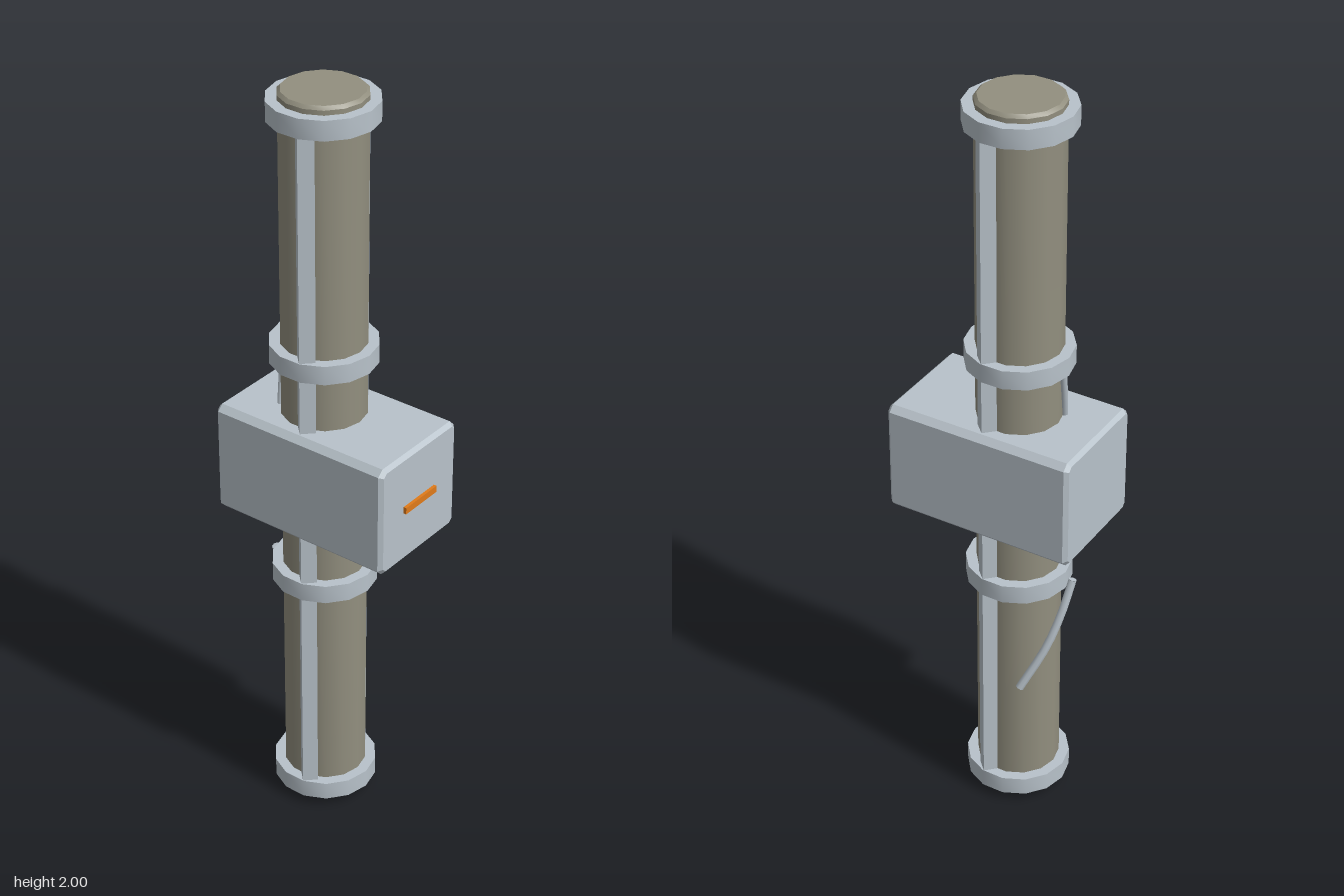
import * as THREE from 'three';
import { toCreasedNormals } from 'three/addons/utils/BufferGeometryUtils.js';

const SIDES = 14;
const AXIS_Z = -0.0375;

export function createModel() {
  const model = new THREE.Group();
  const steel = new THREE.MeshStandardMaterial({ name: 'paleSteel', color: 0xb8c2ca });
  const khaki = new THREE.MeshStandardMaterial({ name: 'khaki', color: 0x928f7f });
  const orange = new THREE.MeshStandardMaterial({ name: 'orange', color: 0xe07b1a });

  const add = (name, geometry, material, x = 0, y = 0, z = 0) => {
    const mesh = new THREE.Mesh(geometry, material);
    mesh.name = name;
    mesh.position.set(x, y, z);
    model.add(mesh);
    return mesh;
  };
  // Turned part with smooth sides and sharp rims
  const turned = (points) => toCreasedNormals(
    new THREE.LatheGeometry(points.map(([r, y]) => new THREE.Vector2(r, y)), SIDES), 0.6);

  // Long cylinder with bevelled ends
  add('mainCylinder', turned([
    [0, 0], [0.1, 0], [0.108, 0.008], [0.108, 1.992], [0.1, 2], [0, 2],
  ]), khaki, 0, 0, AXIS_Z);

  // Four clamping collars
  const collar = turned([
    [0.1, -0.025], [0.1355, -0.025], [0.1355, 0.025], [0.1, 0.025],
  ]);
  for (const y of [0.052, 0.69, 1.325, 1.955]) add('collar', collar, steel, 0, y, AXIS_Z);

  // Diamond-section rails along both sides
  const rail = new THREE.CylinderGeometry(0.028, 0.028, 1.95, 4).toNonIndexed();
  rail.computeVertexNormals();
  for (const side of [-1, 1]) add('sideRail', rail, steel, side * 0.104, 1.003, -0.01);

  // Central housing with chamfered edges
  const c = 0.01, w = 0.152 - c, h = 0.15 - c;
  const outline = new THREE.Shape([
    [w, c - h], [w, h - c], [w - c, h], [c - w, h],
    [-w, h - c], [-w, c - h], [c - w, -h], [w - c, -h],
  ].map(([x, y]) => new THREE.Vector2(x, y)));
  const housing = new THREE.ExtrudeGeometry(outline, {
    depth: 0.488, bevelEnabled: true, bevelSize: c, bevelThickness: c, bevelSegments: 1,
  });
  add('housing', housing, steel, 0, 1.005, -0.248);

  // Thin indicator on the housing front
  add('indicatorStrip', new THREE.BoxGeometry(0.124, 0.018, 0.009), orange, 0, 1.005, 0.2535);

  // Loose cables at the back
  const cable = (name, points, radius) => {
    const curve = new THREE.CatmullRomCurve3(points.map((p) => new THREE.Vector3(...p)));
    add(name, new THREE.TubeGeometry(curve, 8, radius, 8), steel);
    for (const t of [0, 1]) {
      const cap = add(name + 'End', new THREE.CircleGeometry(radius, 8), steel);
      cap.position.copy(curve.getPointAt(t));
      cap.lookAt(cap.position.clone().addScaledVector(curve.getTangentAt(t), t ? 1 : -1));
    }
  };
  cable('lowerCable', [[-0.012, 0.69, -0.187], [0.02, 0.6, -0.175], [0.055, 0.5, -0.15], [0.1, 0.38, -0.1]], 0.011);
  cable('upperCable', [[-0.01, 1.32, -0.15], [-0.028, 1.23, -0.145], [-0.05, 1.13, -0.135]], 0.009);

  return model;
}
